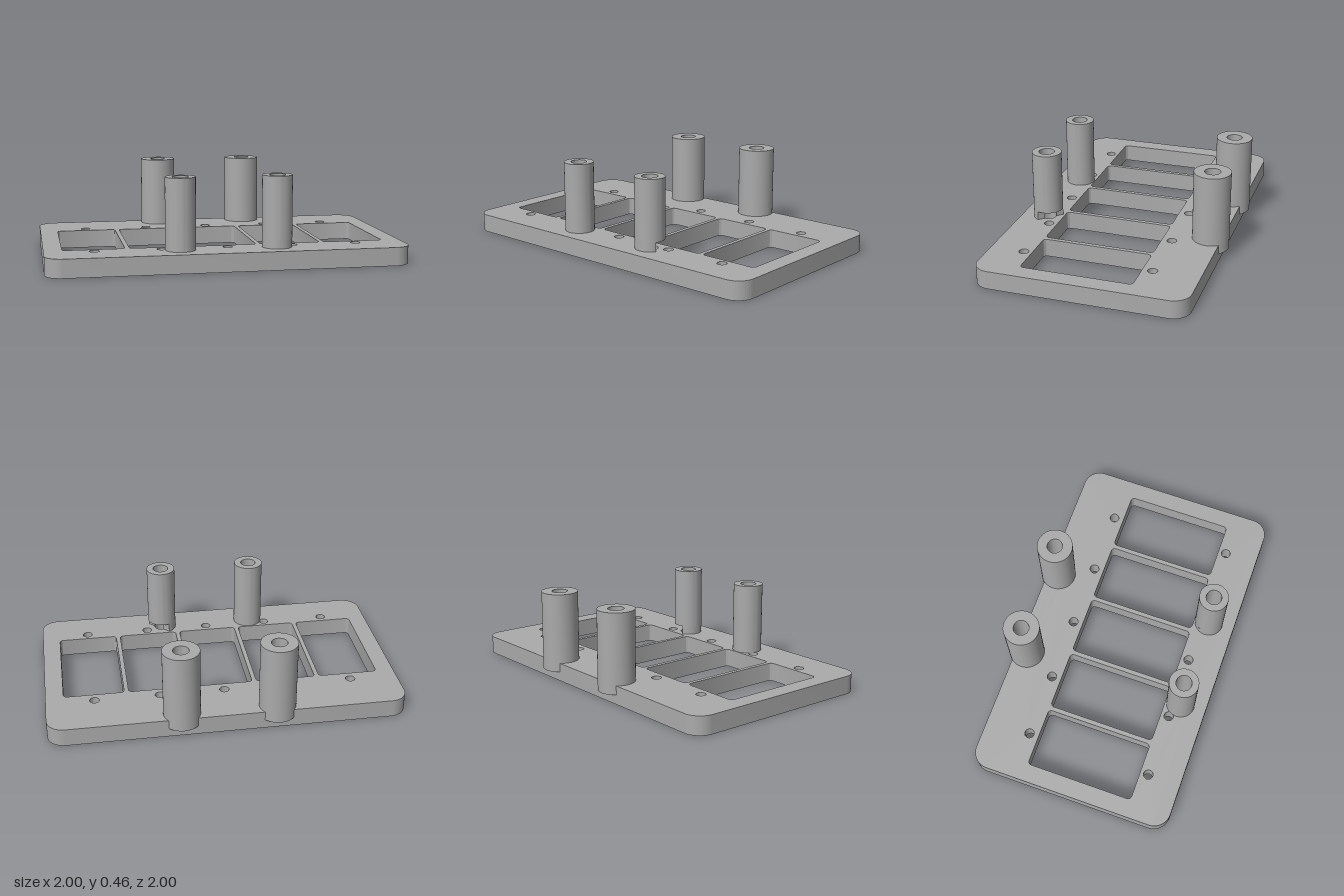
import * as THREE from 'three';
import { toCreasedNormals } from 'three/addons/utils/BufferGeometryUtils.js';

const TOP = 0.095;        // plate thickness
const POST_TOP = 0.4625;
const BORE = 0.041;

// Rounded rectangle as a Shape or Path
function roundedRect(target, x0, y0, x1, y1, r) {
  target.absarc(x1 - r, y0 + r, r, -Math.PI / 2, 0, false);
  target.absarc(x1 - r, y1 - r, r, 0, Math.PI / 2, false);
  target.absarc(x0 + r, y1 - r, r, Math.PI / 2, Math.PI, false);
  target.absarc(x0 + r, y0 + r, r, Math.PI, Math.PI * 1.5, false);
  target.closePath();
  return target;
}

const circle = (C, x, y, r) => new C().absarc(x, y, r, 0, Math.PI * 2, false);

// Extrude a plan shape (x, z) between two heights
function slab(shape, y0, y1) {
  const g = new THREE.ExtrudeGeometry(shape, { depth: y1 - y0, bevelEnabled: false, curveSegments: 24 });
  g.rotateX(Math.PI / 2);
  g.translate(0, y1, 0);
  return toCreasedNormals(g, 0.6);
}

export function createModel() {
  const model = new THREE.Group();
  model.name = 'mountingPlate';
  const frame = new THREE.Group();
  frame.name = 'diagonalFrame';
  frame.rotation.y = Math.PI / 4;
  model.add(frame);

  const grey = new THREE.MeshStandardMaterial({ color: 0xaaaaaa });
  grey.name = 'grey';
  const add = (name, geometry, x = 0, z = 0) => {
    const mesh = new THREE.Mesh(geometry, grey);
    mesh.name = name;
    mesh.position.set(x, 0, z);
    frame.add(mesh);
  };

  // Posts: the rear pair is wider and overhangs the plate edge
  const posts = [
    { x: 0.245, z: -0.484, r: 0.095, y0: 0.048, name: 'rearPost' },
    { x: -0.245, z: -0.484, r: 0.095, y0: 0.048, name: 'rearPost' },
    { x: 0.2475, z: 0.403, r: 0.077, y0: TOP, name: 'frontPost', notched: true },
    { x: -0.2475, z: 0.403, r: 0.077, y0: TOP, name: 'frontPost' },
  ];

  // Plate with five windows, screw holes and post bores
  const plate = roundedRect(new THREE.Shape(), -0.924, -0.543, 0.924, 0.543, 0.09);
  for (let i = -2; i <= 2; i++) {
    const c = i * 0.337;
    plate.holes.push(roundedRect(new THREE.Path(), c - 0.157, -0.252, c + 0.157, 0.322, 0.02));
    for (const z of [-0.304, 0.366]) plate.holes.push(circle(THREE.Path, c, z, 0.025));
  }
  for (const p of posts) plate.holes.push(circle(THREE.Path, p.x, p.z, BORE));
  add('plate', slab(plate, 0, TOP));

  // Hollow posts
  for (const p of posts) {
    const ring = circle(THREE.Shape, 0, 0, p.r);
    ring.holes.push(circle(THREE.Path, 0, 0, BORE));
    add(p.name, slab(ring, p.notched ? 0.142 : p.y0, POST_TOP), p.x, p.z);
    if (p.notched) {
      // Foot cut away on one side to clear the neighbouring screw hole
      const cut = 0.025, dir = -Math.PI / 4;
      const a = Math.acos(cut / p.r), b = Math.acos(cut / BORE);
      const foot = new THREE.Shape();
      foot.absarc(0, 0, p.r, dir + a, dir + Math.PI * 2 - a, false);
      foot.absarc(0, 0, BORE, dir + Math.PI * 2 - b, dir + b, true);
      foot.closePath();
      add('notchedPostFoot', slab(foot, p.y0, 0.142), p.x, p.z);
    }
  }
  return model;
}
